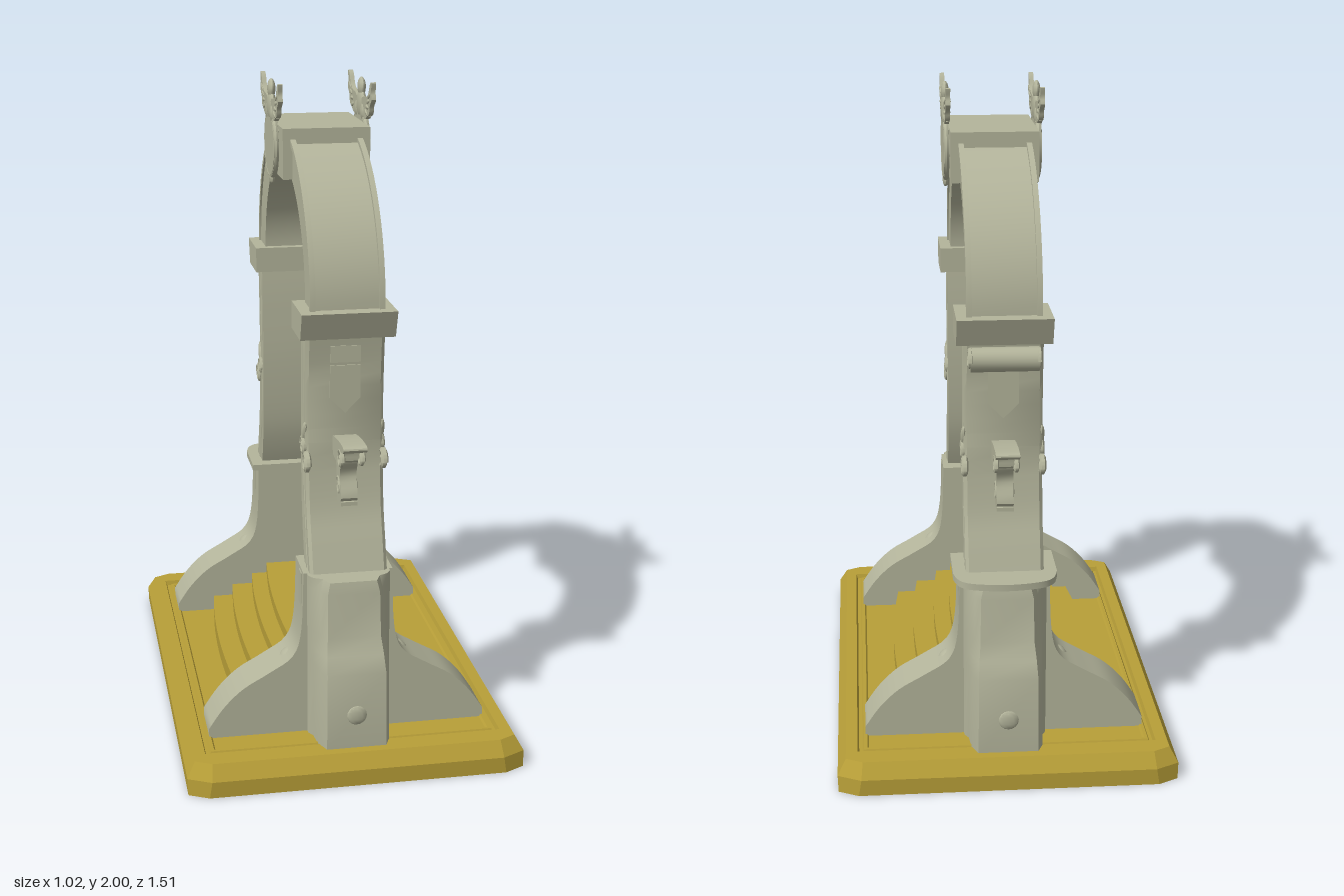
import * as THREE from 'three';
import { toCreasedNormals } from 'three/addons/utils/BufferGeometryUtils.js';

const stone = new THREE.MeshStandardMaterial({ color: 0xb3b49b });
const wood = new THREE.MeshStandardMaterial({ color: 0xb89f38 });

function add(parent, name, geo, mat = stone, crease = 0.6) {
  const mesh = new THREE.Mesh(toCreasedNormals(geo, crease), mat);
  mesh.name = name;
  parent.add(mesh);
  return mesh;
}

// Skin a stack of closed loops (each loop: array of [x, y, z]) and cap both ends
function loft(loops) {
  const n = loops[0].length, pos = [], idx = [];
  loops.forEach(l => l.forEach(p => pos.push(...p)));
  for (let i = 0; i < loops.length - 1; i++) for (let j = 0; j < n; j++) {
    const a = i * n + j, b = i * n + (j + 1) % n;
    idx.push(a, b, b + n, a, b + n, a + n);
  }
  [0, loops.length - 1].forEach((row, end) => {
    const c = pos.length / 3, l = loops[row];
    pos.push(...[0, 1, 2].map(k => l.reduce((s, p) => s + p[k], 0) / n));
    for (let j = 0; j < n; j++) {
      const a = row * n + j, b = row * n + (j + 1) % n;
      if (end) idx.push(c, a, b); else idx.push(c, b, a);
    }
  });
  const g = new THREE.BufferGeometry();
  g.setAttribute('position', new THREE.Float32BufferAttribute(pos, 3));
  g.setIndex(idx);
  return g;
}

const shapeOf = pts => new THREE.Shape(pts.map(p => new THREE.Vector2(p[0], p[1])));
const spline = pts => new THREE.SplineCurve(pts.map(p => new THREE.Vector2(p[0], p[1])));
const smooth = (pts, n = 24) => spline(pts).getPoints(n).map(p => [p.x, p.y]);
const extrude = (pts, depth) => new THREE.ExtrudeGeometry(shapeOf(pts), { depth, bevelEnabled: false });

// Extrude a (z, y) outline across x, centred on the given x
function sideExtrude(pts, width, x = 0) {
  return extrude(pts, width).translate(0, 0, -width / 2).rotateY(-Math.PI / 2).translate(x, 0, 0);
}
const box = (w, h, d, x, y, z) => new THREE.BoxGeometry(w, h, d).translate(x, y, z);
const ball = (r, x, y, z, sx = 1) => new THREE.SphereGeometry(r, 16, 12).scale(sx, 1, 1).translate(x, y, z);

// Flat spiral in the (z, y) plane
function scroll(x, z, y, r, dir, turns = 1.4, tube = 0.01) {
  const pts = [];
  for (let i = 0; i <= 20; i++) {
    const t = i / 20, a = t * turns * Math.PI * 2, q = r * (1 - 0.8 * t);
    pts.push(new THREE.Vector3(x, y + Math.sin(a) * q, z + dir * Math.cos(a) * q));
  }
  return new THREE.TubeGeometry(new THREE.CatmullRomCurve3(pts), 40, tube, 6);
}

function buildBase() {
  const g = new THREE.Group();
  g.name = 'base';
  // Hollow slab with chamfered rim and a sunk moulding: [half x, half z, y, corner cut]
  const rings = [[0.001, 0.001, 0.07, 0], [0.43, 0.67, 0.07, 0], [0.43, 0.67, 0, 0], [0.508, 0.757, 0, 0.03],
    [0.51, 0.757, 0.05, 0.035], [0.485, 0.728, 0.095, 0.025], [0.45, 0.662, 0.095, 0],
    [0.445, 0.657, 0.08, 0], [0.435, 0.647, 0.08, 0], [0.43, 0.642, 0.09, 0], [0.42, 0.632, 0.09, 0],
    [0.415, 0.627, 0.084, 0], [0.001, 0.001, 0.084, 0]];
  add(g, 'plinth', loft(rings.map(([x, z, y, c]) => [[x, y, z - c], [x, y, -z + c], [x - 2 * c, y, -z],
    [-x + 2 * c, y, -z], [-x, y, -z + c], [-x, y, z - c], [-x + 2 * c, y, z], [x - 2 * c, y, z]])), wood, 0.3);
  // Bowed steps narrowing upward, the lowest showing beneath the plinth: [half x, bottom, top]
  [[0.325, 0.025, 0.135], [0.258, 0.1, 0.175], [0.188, 0.1, 0.212], [0.135, 0.1, 0.248]].forEach(([w, low, top], i) => {
    const edge = smooth([[w - 0.025, -0.41], [w - 0.007, -0.22], [w, 0], [w - 0.007, 0.22], [w - 0.025, 0.41]], 16);
    const other = edge.map(([x, z]) => [-x, -z]);
    add(g, 'step' + (i + 1), extrude([...edge, ...other], top - low).rotateX(-Math.PI / 2).translate(0, low, 0), wood);
  });
  return g;
}

// One leg, built on the +z side
function buildLeg(isBack) {
  const g = new THREE.Group();
  g.name = isBack ? 'backLeg' : 'frontLeg';

  // Buttress with swept feet
  const sweep = smooth([[0.425, 0.115], [0.38, 0.18], [0.32, 0.238], [0.24, 0.285], [0.168, 0.335], [0.142, 0.42], [0.135, 0.6]]);
  add(g, 'buttress', extrude([[0.425, 0.068], ...sweep, ...sweep.map(([x, y]) => [-x, y]).reverse(), [-0.425, 0.068]], 0.146)
    .translate(0, 0, 0.403));
  // Open trough under the buttress
  for (const z of [0.407, 0.545]) add(g, 'troughSide', box(0.85, 0.068, 0.008, 0, 0.034, z));
  for (const s of [-1, 1]) {
    add(g, 'troughEnd', box(0.008, 0.068, 0.13, s * 0.421, 0.034, 0.476));
    add(g, 'buttressEdge', box(0.016, 0.46, 0.045, s * 0.13, 0.36, 0.5));
    add(g, 'shoulderFillet', ball(0.05, s * 0.154, 0.285, 0.477));
  }

  // Tapered pedestal block in front of the buttress
  const pedestal = [[0.085, 0.7, 0.09], [0.33, 0.697, 0.088], [0.38, 0.675, 0.085], [0.43, 0.652, 0.08], [0.565, 0.643, 0.078], [0.6, 0.635, 0.07]];
  add(g, 'pedestal', loft(pedestal.map(([y, z, w]) => [[w, y, z], [w + 0.015, y, z - 0.035], [0.112, y, 0.585], [0.124, y, 0.565],
    [0.124, y, 0.41], [-0.124, y, 0.41], [-0.124, y, 0.565], [-0.112, y, 0.585], [-w - 0.015, y, z - 0.035], [-w, y, z]])));
  add(g, 'stud', new THREE.SphereGeometry(0.03, 12, 8).scale(1, 1, 0.25).translate(0, 0.2, 0.699));

  // Curved shaft with shallow carved grooves along its sides
  const inner = spline([[0.465, 0.56], [0.425, 0.68], [0.402, 0.8], [0.392, 1.0], [0.398, 1.2], [0.408, 1.33]]);
  const outer = spline([[0.575, 0.56], [0.535, 0.68], [0.498, 0.8], [0.477, 1.0], [0.484, 1.2], [0.499, 1.33]]);
  const grooves = [[0, 0.107], [0.08, 0.117], [0.3, 0.117], [0.35, 0.113], [0.41, 0.118], [0.62, 0.118], [0.66, 0.114], [0.72, 0.116], [1, 0.116]];
  const loops = [];
  for (let i = 0; i <= 24; i++) {
    const a = outer.getPoint(i / 24), b = inner.getPoint(i / 24);
    const side = grooves.map(([t, x], k) => {
      const u = t + (k > 1 && k < 8 ? 0.05 * Math.sin(i * 0.55 + (k > 4 ? 2 : 0)) : 0);
      return [x, a.y + (b.y - a.y) * u, a.x + (b.x - a.x) * u];
    });
    loops.push([...side, ...side.map(([x, y, z]) => [-x, y, z]).reverse()]);
  }
  add(g, 'shaft', loft(loops));

  // Shield panel on the outer face
  add(g, 'shield', extrude([[-0.045, 1.22], [-0.045, 1.12], [0, 1.075], [0.045, 1.12], [0.045, 1.22]], 0.03).translate(0, 0, 0.46));
  add(g, 'shieldTop', box(0.09, 0.05, 0.03, 0, 1.255, 0.48));

  // Projecting bracket with scrolls
  add(g, 'bracket', sideExtrude(smooth([[0.46, 0.95], [0.56, 0.945], [0.575, 0.985], [0.64, 1.0], [0.64, 1.018], [0.55, 1.015], [0.46, 1.0]]), 0.07));
  add(g, 'bracketDrop', sideExtrude(smooth([[0.47, 0.96], [0.56, 0.96], [0.54, 0.9], [0.56, 0.83], [0.5, 0.815], [0.475, 0.86]]), 0.05));
  add(g, 'bracketFoot', box(0.05, 0.012, 0.07, 0, 0.816, 0.525));
  for (const s of [-1, 1]) {
    add(g, 'bracketScroll', scroll(s * 0.03, 0.585, 0.965, 0.032, 1, 1.4, 0.007));
    add(g, 'bracketScroll', scroll(s * 0.022, 0.52, 0.86, 0.03, -1, 1.4, 0.006));
    add(g, 'sideScroll', scroll(s * 0.115, 0.49, 0.925, 0.033, 1));
    add(g, 'sideScroll', scroll(s * 0.115, 0.445, 0.965, 0.03, -1));
    add(g, 'sideLeaf', new THREE.SphereGeometry(0.04, 12, 8).scale(0.25, 1, 0.35).rotateX(0.4).translate(s * 0.115, 1.01, 0.455));
  }

  // Flared capital
  add(g, 'capital', sideExtrude([[0.375, 1.31], [0.53, 1.31], [0.56, 1.392], [0.375, 1.392]], 0.28));

  if (isBack) {
    // Slab over the pedestal and a rolled scroll under the capital
    const rim = smooth([[0.155, -0.56], [0.14, -0.61], [0.1, -0.64], [0, -0.655], [-0.1, -0.64], [-0.14, -0.61], [-0.155, -0.56]]);
    add(g, 'pedestalCap', extrude([[-0.155, -0.402], [0.155, -0.402], ...rim].reverse(), 0.02)
      .rotateX(-Math.PI / 2).translate(0, 0.597, 0));
    add(g, 'roll', new THREE.CylinderGeometry(0.036, 0.036, 0.2, 20).rotateZ(Math.PI / 2).translate(0, 1.265, 0.522));
    for (const s of [-1, 1]) add(g, 'rollEnd', scroll(s * 0.1, 0.522, 1.265, 0.034, 1, 1.5, 0.007));
    g.rotation.y = Math.PI;
  }
  return g;
}

function buildArch() {
  const g = new THREE.Group();
  g.name = 'arch';
  const arc = (a, b) => Array.from({ length: 41 }, (_, i) => [a * Math.cos(i * Math.PI / 40), 1.385 + b * Math.sin(i * Math.PI / 40)]);
  const band = (outerA, outerB, innerA, innerB) => [...arc(outerA, outerB), ...arc(innerA, innerB).reverse()];
  add(g, 'archBand', sideExtrude(band(0.513, 0.463, 0.403, 0.358), 0.208));
  for (const s of [-1, 1]) add(g, 'archRim', sideExtrude(band(0.525, 0.476, 0.508, 0.458), 0.016, s * 0.102));
  add(g, 'keystone', box(0.265, 0.152, 0.35, 0, 1.79, 0));

  // Medallion and winged crest on each face of the keystone
  const wing = smooth([[0.01, 1.915], [0.05, 1.94], [0.1, 1.945], [0.135, 1.958], [0.16, 1.99], [0.183, 1.997], [0.178, 1.968],
    [0.185, 1.945], [0.16, 1.925], [0.15, 1.9], [0.12, 1.89], [0.09, 1.878], [0.02, 1.87]], 40);
  for (const s of [-1, 1]) {
    const x = s * 0.14;
    add(g, 'medallion', new THREE.CylinderGeometry(0.103, 0.103, 0.016, 40).rotateZ(Math.PI / 2).translate(x, 1.8, 0));
    add(g, 'medallionRing', new THREE.TorusGeometry(0.098, 0.009, 8, 40).rotateY(Math.PI / 2).translate(x, 1.8, 0));
    add(g, 'medallionKnob', ball(0.022, x, 1.695, 0, 0.4));
    add(g, 'crestHead', ball(0.03, x, 1.966, 0, 0.4));
    add(g, 'crestBody', ball(0.045, x, 1.915, 0, 0.3));
    for (const m of [-1, 1]) {
      add(g, 'crestWing', sideExtrude(m > 0 ? wing : wing.map(([z, y]) => [-z, y]), 0.014, x));
      add(g, 'crestCurl', ball(0.03, x, 1.895, m * 0.045, 0.4));
      for (let k = 0; k < 4; k++) add(g, 'crestFeather', new THREE.SphereGeometry(0.03, 10, 8).scale(0.35, 0.3, 1)
        .rotateX(m * (0.3 - k * 0.25)).translate(x, 1.9 + k * 0.018, m * (0.105 + k * 0.014)));
    }
  }
  return g;
}

export function createModel() {
  const model = new THREE.Group();
  model.name = 'archway';
  model.add(buildBase(), buildLeg(false), buildLeg(true), buildArch());
  return model;
}
